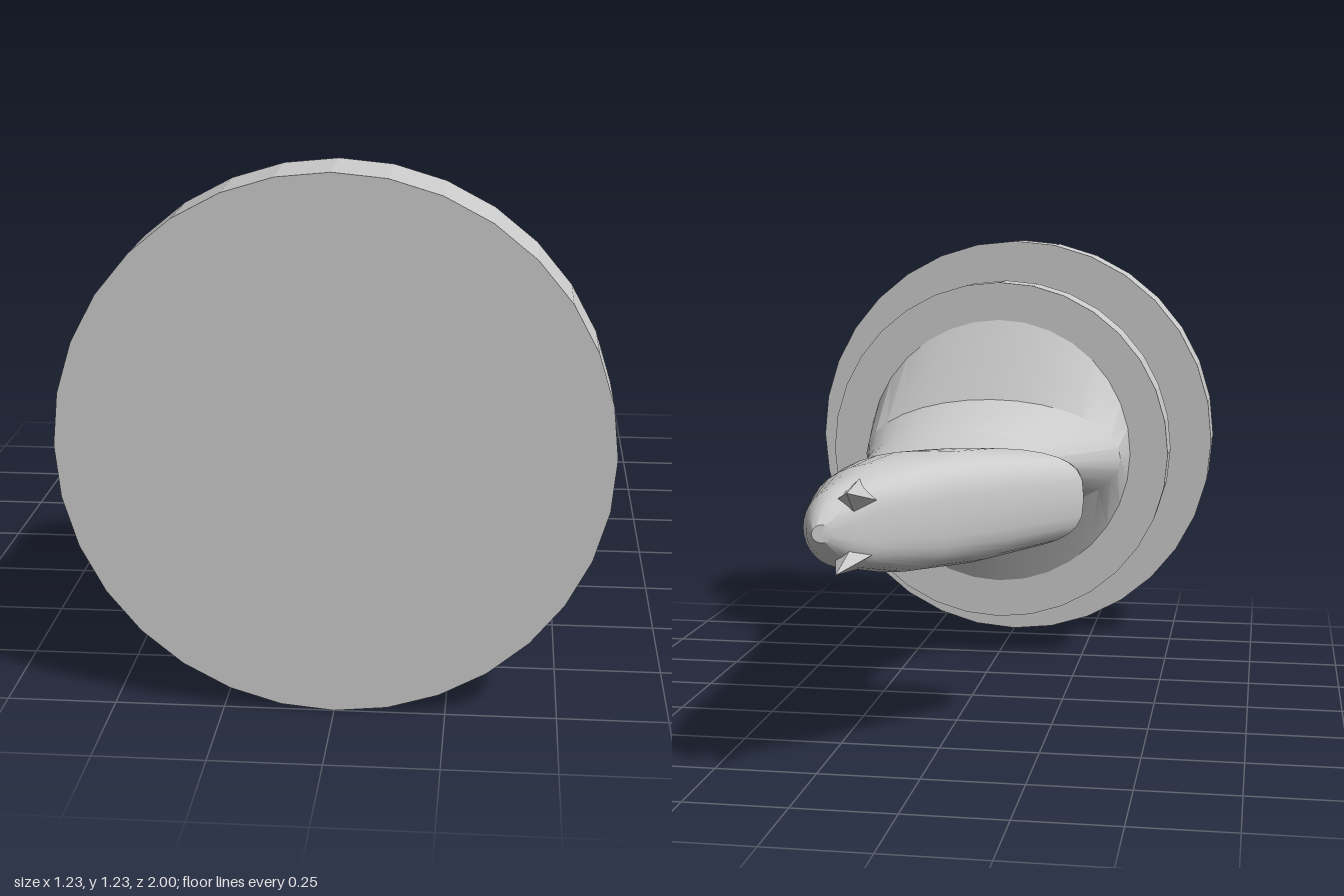
import * as THREE from 'three';
import { toCreasedNormals } from 'three/addons/utils/BufferGeometryUtils.js';

const CY = 0.62; // height of the long axis
const SIDES = 32;

// Loft through tilted oval rings, each [xLow, zLow, xHigh, zHigh, halfThickness].
// "front" below 1 squares off the low-x side of each ring.
function loft(rings, front = 1, crease = 0.35) {
  const pos = [], index = [];
  for (const [x0, z0, x1, z1, h] of rings) {
    for (let i = 0; i < SIDES; i++) {
      const a = (i / SIDES) * Math.PI * 2, c = Math.cos(a), s = Math.sin(a);
      const p = c < 0 ? front : 1;
      const u = Math.sign(c) * Math.abs(c) ** p * 0.5 + 0.5;
      const v = Math.sign(s) * Math.abs(s) ** p;
      pos.push(x0 + (x1 - x0) * u, CY + h * v, z0 + (z1 - z0) * u);
    }
  }
  const last = (rings.length - 1) * SIDES, c0 = pos.length / 3;
  for (const [x0, z0, x1, z1] of [rings[0], rings[rings.length - 1]]) {
    pos.push((x0 + x1) / 2, CY, (z0 + z1) / 2);
  }
  for (let i = 0; i < SIDES; i++) {
    const j = (i + 1) % SIDES;
    for (let r = 0; r < last; r += SIDES) {
      index.push(r + i, r + SIDES + i, r + j, r + j, r + SIDES + i, r + SIDES + j);
    }
    index.push(c0, i, j, c0 + 1, last + j, last + i);
  }
  const geo = new THREE.BufferGeometry();
  geo.setAttribute('position', new THREE.Float32BufferAttribute(pos, 3));
  geo.setIndex(index);
  return toCreasedNormals(geo, crease);
}

// Four-sided spike from a small base outline to a tip
function spike(base, tip) {
  const pos = [];
  base.forEach((p, i) => pos.push(...p, ...base[(i + 1) % base.length], ...tip));
  const geo = new THREE.BufferGeometry();
  geo.setAttribute('position', new THREE.Float32BufferAttribute(pos, 3));
  geo.computeVertexNormals();
  return geo;
}

export function createModel() {
  const group = new THREE.Group();
  const smooth = new THREE.MeshStandardMaterial({ color: 0xcccccc });
  const flat = new THREE.MeshStandardMaterial({ color: 0xcccccc, flatShading: true, side: THREE.DoubleSide });
  const add = (name, geo, mat) => {
    const mesh = new THREE.Mesh(geo, mat);
    mesh.name = name;
    group.add(mesh);
  };

  // Stepped round base
  for (const [name, r, zBack, zFront] of [
    ['baseDisc', 0.615, 0.82, 1],
    ['baseStem', 0.345, 0.63, 0.82],
    ['baseCollar', 0.5, 0.48, 0.63],
  ]) {
    const geo = new THREE.CylinderGeometry(r, r, zFront - zBack, SIDES);
    geo.rotateX(Math.PI / 2).translate(0, CY, (zBack + zFront) / 2);
    add(name, geo, flat);
  }

  // Flared neck, its end buried in the head
  add('neck', loft([
    [-0.39, 0.48, 0.39, 0.48, 0.39],
    [-0.37, 0.38, 0.38, 0.38, 0.165],
    [-0.18, 0.2, 0.335, 0.2, 0.092],
    [-0.09, -0.08, 0.305, -0.08, 0.073],
    [-0.11, -0.28, 0.287, -0.36, 0.076],
    [-0.08, -0.42, 0.26, -0.5, 0.076],
  ]), smooth);

  // Wedge-shaped head: jaw, cheeks, brow, crown
  add('head', loft([
    [-0.33, -0.27, 0.28, -0.39, 0.112],
    [-0.34, -0.36, 0.285, -0.53, 0.13],
    [-0.2, -0.54, 0.28, -0.62, 0.139],
    [-0.065, -0.71, 0.265, -0.74, 0.128],
    [0.07, -0.85, 0.24, -0.88, 0.092],
    [0.11, -0.9, 0.22, -0.93, 0.06],
    [0.16, -0.945, 0.2, -0.958, 0.02],
  ], 0.65, 0.5), smooth);

  // Pointed ears flaring outwards
  for (const [name, s, tip] of [
    ['upperEar', 1, [0.11, 0.72, -1]],
    ['lowerEar', -1, [0.14, 0.535, -0.985]],
  ]) {
    const base = [[0.07, 0.055, -0.82], [0.12, 0.025, -0.87], [0.17, 0.06, -0.86], [0.125, 0.105, -0.8]]
      .map(([x, y, z]) => [x, CY + s * y, z]);
    add(name, spike(s > 0 ? base.reverse() : base, tip), flat);
  }
  return group;
}
